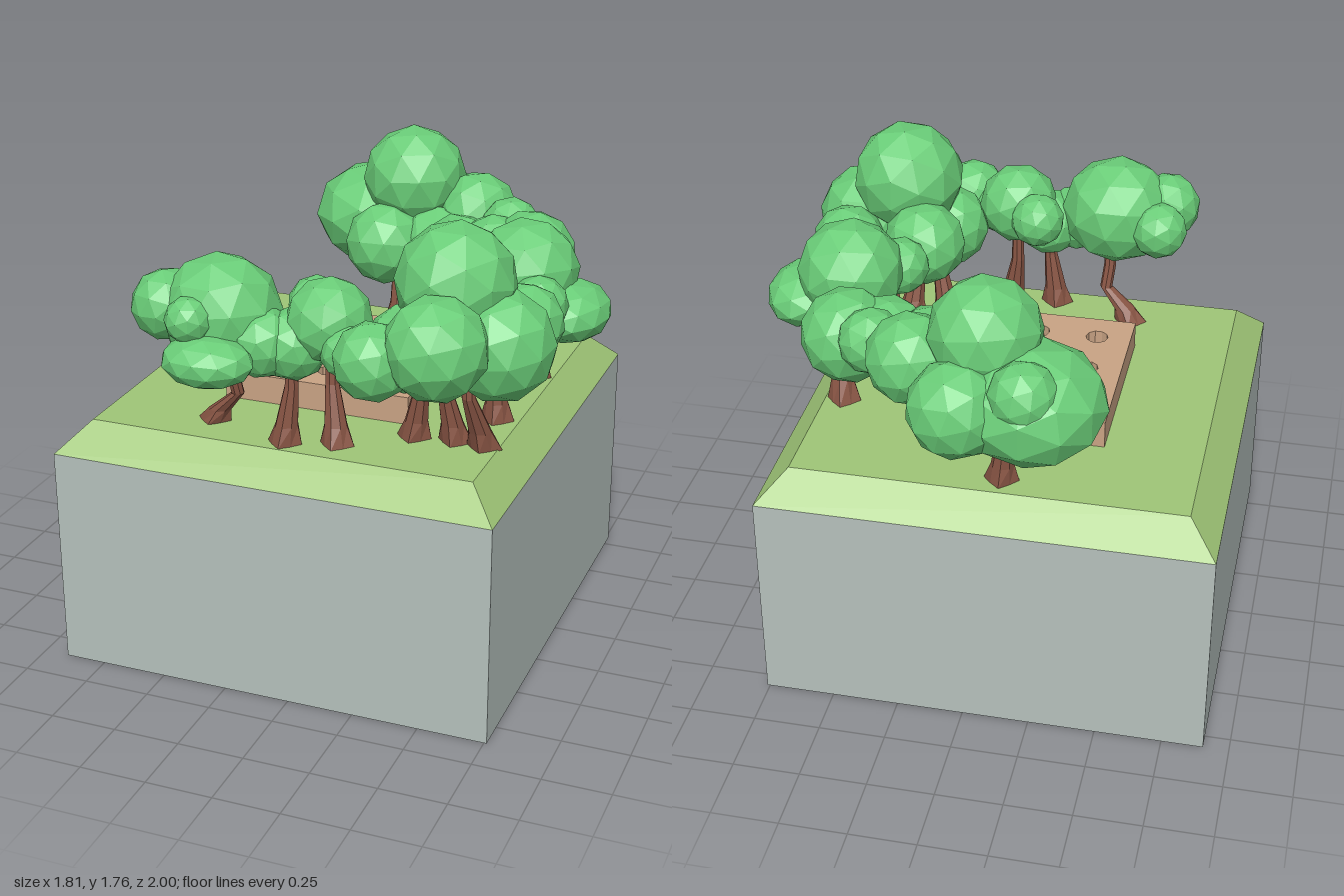
import * as THREE from 'three';

const mat = (name, color) => {
  const m = new THREE.MeshStandardMaterial({ color, flatShading: true });
  m.name = name;
  return m;
};

export function createModel() {
  const stone = mat('stone grey', 0xb5c0bc);
  const grass = mat('grass green', 0x9fc677);
  const soil = mat('soil tan', 0xc9a384);
  const bark = mat('bark brown', 0x8a5645);
  const leaf = mat('leaf green', 0x6acd78);
  const red = mat('fruit red', 0xdb4a22);

  const model = new THREE.Group();
  model.name = 'gardenBlock';
  const add = (parent, name, geo, material, x = 0, y = 0, z = 0) => {
    const mesh = new THREE.Mesh(geo, material);
    mesh.name = name;
    mesh.position.set(x, y, z);
    parent.add(mesh);
    return mesh;
  };
  const group = (name) => {
    const g = new THREE.Group();
    g.name = name;
    model.add(g);
    return g;
  };

  // Stone block with a green underside
  add(model, 'stoneBlock', new THREE.BoxGeometry(1.665, 0.84, 1.67),
    [stone, stone, stone, grass, stone, stone], -0.0725, 0.42, 0.025);

  // Grass slab with sloping edges
  const slab = new THREE.BoxGeometry(1.665, 0.11, 1.67);
  const sp = slab.attributes.position;
  for (let i = 0; i < sp.count; i++) {
    if (sp.getY(i) > 0) {
      sp.setX(i, Math.sign(sp.getX(i)) * 0.725);
      sp.setZ(i, Math.sign(sp.getZ(i)) * 0.725);
    }
  }
  slab.computeVertexNormals();
  add(model, 'grassSlab', slab, grass, -0.0725, 0.895, 0.025);

  // Soil bed with nine planting holes, a fruit sunk in each
  const bedX = -0.075, bedZ = 0.0225, step = 0.229;
  const bed = new THREE.Shape();
  bed.moveTo(-0.36, -0.3625);
  bed.lineTo(0.36, -0.3625);
  bed.lineTo(0.36, 0.3625);
  bed.lineTo(-0.36, 0.3625);
  bed.closePath();
  const fruits = group('fruits');
  for (let i = -1; i <= 1; i++) {
    for (let j = -1; j <= 1; j++) {
      const hole = new THREE.Path();
      hole.absarc(i * step, j * step, 0.043, 0, Math.PI * 2, true);
      bed.holes.push(hole);
      const x = bedX + i * step, z = bedZ + j * step;
      add(fruits, 'fruit', new THREE.IcosahedronGeometry(0.037, 1), red, x, 0.968, z);
      add(fruits, 'fruitStem', new THREE.CylinderGeometry(0.004, 0.006, 0.02, 5), bark, x, 1.01, z);
    }
  }
  const bedGeo = new THREE.ExtrudeGeometry(bed, { depth: 0.105, bevelEnabled: false, curveSegments: 5 });
  bedGeo.rotateX(-Math.PI / 2);
  add(model, 'soilBed', bedGeo, soil, bedX, 0.95, bedZ);

  // Trunks: a six-sided tube through points [x, y, z, radius], with a ridged foot
  const trunks = group('trunks');
  const trunk = (pts) => {
    const n = pts.length - 1;
    const geo = new THREE.CylinderGeometry(1, 1, n, 8, n);
    const p = geo.attributes.position;
    for (let i = 0; i < p.count; i++) {
      const k = Math.round(p.getY(i) + n / 2);
      const [x, y, z, r] = pts[k];
      const a = Math.atan2(p.getZ(i), p.getX(i));
      const len = Math.hypot(p.getX(i), p.getZ(i));
      const ridge = k === 0 ? 1 + 0.14 * Math.cos(a * 4) : 1;
      p.setXYZ(i, x + Math.cos(a) * r * len * ridge, y, z + Math.sin(a) * r * len * ridge);
    }
    geo.computeVertexNormals();
    add(trunks, 'trunk', geo, bark);
  };
  // Straight trunks: foot x, z and top x, z
  [
    [-0.07, 0.68, -0.04, 0.68], [0.11, 0.63, 0.08, 0.6], [0.34, 0.47, 0.38, 0.5],
    [0.49, 0.45, 0.46, 0.5], [0.57, 0.22, 0.56, 0.23], [0.17, -0.42, 0.2, -0.42],
    [-0.11, -0.61, -0.13, -0.64], [0.6, 0.46, 0.57, 0.56],
  ].forEach(([x, z, tx, tz]) => trunk([
    [x, 0.945, z, 0.058], [x * 0.7 + tx * 0.3, 1.02, z * 0.7 + tz * 0.3, 0.043],
    [tx, 1.17, tz, 0.026], [tx, 1.32, tz, 0.02],
  ]));
  // Bent trunks
  trunk([[-0.39, 0.945, 0.58, 0.058], [-0.36, 1.0, 0.59, 0.042], [-0.28, 1.08, 0.61, 0.024],
    [-0.29, 1.17, 0.63, 0.024], [-0.29, 1.3, 0.65, 0.02]]);
  trunk([[0.52, 0.945, 0.0, 0.055], [0.52, 0.99, 0.04, 0.042], [0.54, 1.06, 0.13, 0.022],
    [0.54, 1.18, 0.12, 0.022], [0.55, 1.34, 0.03, 0.02]]);
  trunk([[0.58, 0.945, -0.22, 0.058], [0.59, 1.04, -0.2, 0.04], [0.6, 1.16, -0.14, 0.026],
    [0.64, 1.22, -0.21, 0.024], [0.68, 1.3, -0.28, 0.024]]);

  // Leaf clumps: x, y, z, radius, optional radii for y and z
  const crowns = {
    backCrown: [
      [-0.06, 1.555, -0.63, 0.205], [-0.24, 1.36, -0.72, 0.265, 0.21, 0.265],
      [-0.235, 1.46, -0.85, 0.125], [0, 1.37, -0.83, 0.175],
      [0.2, 1.43, -0.64, 0.165], [-0.12, 1.32, -0.47, 0.165], [0.08, 1.32, -0.52, 0.16],
    ],
    backLeftCrown: [
      [0.49, 1.36, -0.42, 0.175], [0.2, 1.33, -0.41, 0.16], [0.37, 1.42, -0.54, 0.12],
      [0.36, 1.28, -0.28, 0.1], [0.35, 1.36, -0.4, 0.15],
    ],
    leftCrown: [
      [0.575, 1.42, -0.07, 0.2], [0.755, 1.3, -0.05, 0.15, 0.11, 0.19],
      [0.42, 1.39, 0.06, 0.11], [0.68, 1.37, 0.12, 0.11],
    ],
    frontLeftCrown: [
      [0.49, 1.555, 0.48, 0.215], [0.66, 1.36, 0.51, 0.2], [0.38, 1.38, 0.27, 0.16],
      [0.68, 1.36, 0.27, 0.14], [0.51, 1.41, 0.74, 0.185], [0.3, 1.35, 0.78, 0.14],
      [0.35, 1.32, 0.55, 0.16],
    ],
    frontCrown: [
      [0.08, 1.41, 0.62, 0.155], [-0.02, 1.41, 0.49, 0.105], [-0.04, 1.32, 0.66, 0.13],
      [0.18, 1.34, 0.7, 0.1],
    ],
    frontRightCrown: [
      [-0.31, 1.405, 0.66, 0.22, 0.21, 0.21], [-0.27, 1.3, 0.87, 0.17, 0.09, 0.13],
      [-0.5, 1.42, 0.7, 0.13], [-0.49, 1.39, 0.54, 0.11], [-0.35, 1.43, 0.84, 0.085],
      [-0.14, 1.33, 0.7, 0.13],
    ],
  };
  let turn = 0;
  for (const [name, clumps] of Object.entries(crowns)) {
    const crown = group(name);
    for (const [x, y, z, r, ry = r, rz = r] of clumps) {
      const geo = new THREE.IcosahedronGeometry(1, 1);
      geo.rotateY(turn += 1.3).rotateX(turn * 0.7).scale(r, ry, rz);
      geo.computeVertexNormals();
      add(crown, 'leafClump', geo, leaf, x, y, z);
    }
  }
  return model;
}
